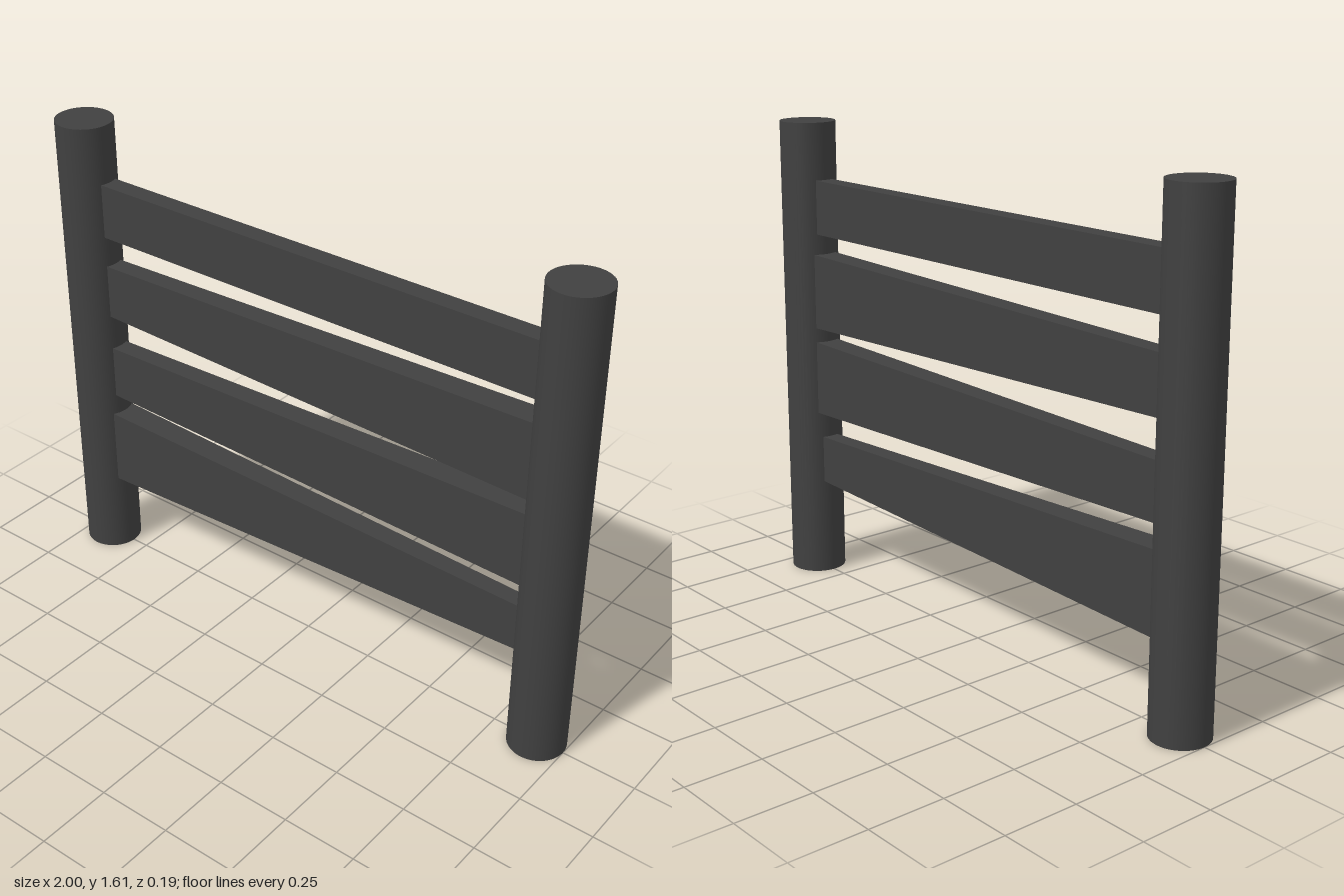
import * as THREE from 'three';

const charcoal = new THREE.MeshStandardMaterial({ color: 0x404040 });
charcoal.name = 'charcoal';

const HEIGHT = 1.61, RADIUS = 0.095, POST_X = 0.905;
const RAIL_END = 0.88; // rails run into the posts

// Bar whose height and depth change from the -x end to the +x end
function taperedRail(name, rightEnd, leftEnd) {
  const geometry = new THREE.BoxGeometry(2 * RAIL_END, 1, 1);
  const pos = geometry.attributes.position;
  for (let i = 0; i < pos.count; i++) {
    const [bottom, top, depth] = pos.getX(i) < 0 ? rightEnd : leftEnd;
    pos.setY(i, pos.getY(i) < 0 ? bottom : top);
    pos.setZ(i, Math.sign(pos.getZ(i)) * depth / 2);
  }
  geometry.computeVertexNormals();
  const rail = new THREE.Mesh(geometry, charcoal);
  rail.name = name;
  return rail;
}

export function createModel() {
  const group = new THREE.Group();
  group.name = 'railFence';

  // Round posts
  const postGeometry = new THREE.CylinderGeometry(RADIUS, RADIUS, HEIGHT, 48);
  for (const [name, side] of [['rightPost', -1], ['leftPost', 1]]) {
    const post = new THREE.Mesh(postGeometry, charcoal);
    post.name = name;
    post.position.set(side * POST_X, HEIGHT / 2, 0);
    group.add(post);
  }

  // Rails: [bottom, top, depth] at each end
  group.add(
    taperedRail('topRail', [1.23, 1.415, 0.066], [1.23, 1.415, 0.066]),
    taperedRail('upperMiddleRail', [0.939, 1.123, 0.064], [0.9, 1.161, 0.088]),
    taperedRail('lowerMiddleRail', [0.631, 0.814, 0.064], [0.594, 0.852, 0.088]),
    taperedRail('bottomRail', [0.288, 0.56, 0.092], [0.342, 0.503, 0.058]),
  );
  return group;
}
